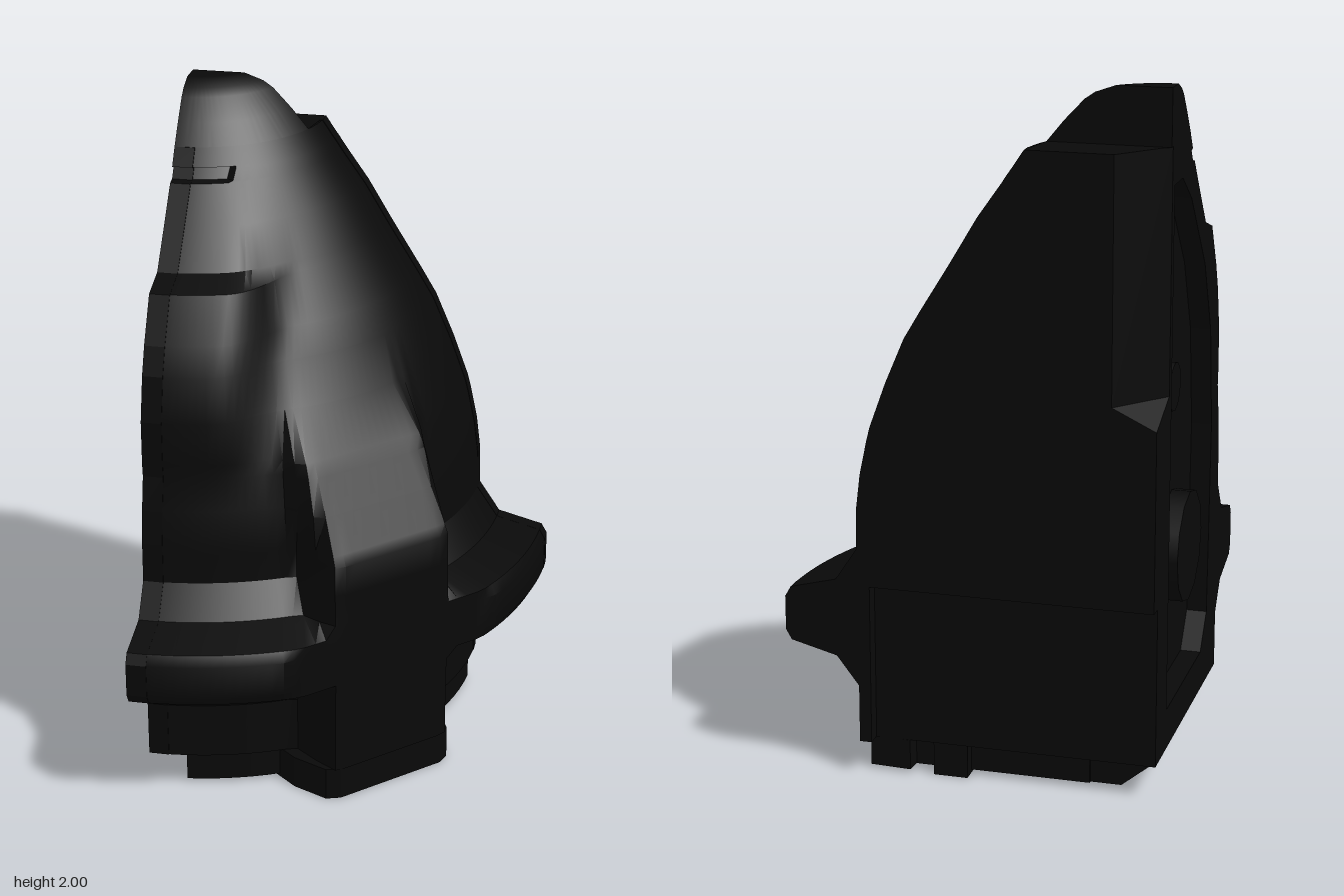
import * as THREE from 'three';
import { toCreasedNormals } from 'three/addons/utils/BufferGeometryUtils.js';

// Local frame: the quarter's corner axis is at x = z = 0
const H = 0.535;

// Outer profile, [y, radius]
const PROFILE = [
  [0.1, 0.855], [0.27, 0.855], [0.355, 0.92], [0.39, 1.055], [0.42, 1.072], [0.52, 1.072], [0.55, 1.055],
  [0.585, 0.92], [0.68, 0.857], [0.77, 0.855], [0.8, 0.855], [0.9, 0.843], [1.0, 0.822], [1.04, 0.812], [1.17, 0.765],
  [1.3, 0.71], [1.38, 0.663], [1.51, 0.583], [1.54, 0.565], [1.65, 0.5], [1.75, 0.43], [1.755, 0.427],
  [1.785, 0.407], [1.79, 0.403], [1.84, 0.37],
];
// Top of the dome above the notch
const TIP = [[1.84, 0.37], [1.9, 0.325], [1.96, 0.275], [1.98, 0.25], [2.0, 0.205], [2.0, 0.136]];
// Raised brow near the front edge, [y, extra radius]
const BROW = [[1.0, 0], [1.17, 0.06], [1.38, 0.1], [1.51, 0.11], [1.54, 0.035], [1.65, 0.01], [1.75, 0]];
// Flat-faced buttress on the diagonal, [y, distance from the axis]
const BUTTRESS = [[0, 1.005], [0.77, 1.005], [0.9, 0.93], [1.04, 0.85], [1.17, 0.77]];

function sample(table, y) {
  if (y < table[0][0] || y >= table[table.length - 1][0]) return 0;
  const i = table.findIndex((p) => p[0] > y);
  const [a, b] = [table[i - 1], table[i]];
  return a[1] + (b[1] - a[1]) * (y - a[0]) / (b[0] - a[0]);
}

function radiusAt(y, r, t) {
  const smooth = THREE.MathUtils.smoothstep;
  const off = r * Math.cos(t);
  const slot = y > 1.752 && y < 1.788 && off < 0.17 ? 0.02 : 0;
  const dome = r + sample(BROW, y) * (1 - smooth(off, 0.18, 0.38)) - slot;
  // Flatten the flange and raise the buttress across the diagonal
  const phi = t - Math.PI / 4;
  const base = Math.min(dome, 1.005 / Math.cos(phi));
  const face = sample(BUTTRESS, y) / Math.cos(phi);
  const lift = 1 - smooth(Math.abs(face * Math.sin(phi)), 0.19, 0.28);
  return base + Math.max(0, face - base) * lift;
}

// Quarter-turn surface; minZ cuts it off towards the back
function quarterSurface(profile, minZ = 0, cols = 48) {
  const pos = [], idx = [], n = cols + 1;
  profile.forEach(([y, r], i) => {
    const start = Math.asin(minZ / r);
    for (let j = 0; j <= cols; j++) {
      const t = start + j / cols * (Math.PI / 2 - start), q = radiusAt(y, r, t);
      pos.push(q * Math.cos(t), y, q * Math.sin(t));
      if (i && j) {
        const a = (i - 1) * n + j - 1, c = i * n + j - 1;
        idx.push(a, c, a + 1, a + 1, c, c + 1);
      }
    }
  });
  const g = new THREE.BufferGeometry();
  g.setAttribute('position', new THREE.Float32BufferAttribute(pos, 3));
  g.setIndex(idx);
  return toCreasedNormals(g, 0.55);
}

const shapeOf = (pts) => new THREE.Shape(pts.map((p) => new THREE.Vector2(...p)));
const extrude = (shape, depth) => new THREE.ExtrudeGeometry(shape, { depth, bevelEnabled: false });

export function createModel() {
  const model = new THREE.Group();
  const black = new THREE.MeshStandardMaterial({ color: 0x090909, side: THREE.DoubleSide });
  black.name = 'black';
  const parts = new THREE.Group();
  parts.name = 'quarterShell';
  parts.position.set(-H, 0, -H);
  model.add(parts);
  const add = (name, geometry, x = 0, y = 0, z = 0) => {
    const m = new THREE.Mesh(geometry, black);
    m.name = name;
    m.position.set(x, y, z);
    parts.add(m);
    return m;
  };
  const box = (name, x0, x1, y0, y1, z0, z1) => add(name,
    new THREE.BoxGeometry(x1 - x0, y1 - y0, z1 - z0), (x0 + x1) / 2, (y0 + y1) / 2, (z0 + z1) / 2);

  // Dome with its flange and buttress, and the notched tip
  const notch = 0.135, cutX = 0.125, cutZ = 0.15, cutY = 1.15, ledge = 0.57, step = 0.045;
  add('dome', quarterSurface(PROFILE));
  add('tip', quarterSurface(TIP, notch));
  const tipRows = TIP.slice(0, 5);
  add('tipSide', new THREE.ShapeGeometry(shapeOf([[notch, 1.84], ...tipRows.map(([y, r]) => [r, y]), [notch, 2]]))
    .rotateY(-Math.PI / 2));
  add('tipBack', new THREE.ShapeGeometry(shapeOf([[0, 1.84],
    ...tipRows.map(([y, r]) => [Math.sqrt(r * r - notch * notch), y]), [0, 2]])), 0, 0, notch);
  add('tipTop', new THREE.ShapeGeometry(shapeOf([[0, -notch], [0.154, -notch], [0.08, -0.19], [0, -0.205]]))
    .rotateX(-Math.PI / 2), 0, 2);
  add('notchFloor', new THREE.ShapeGeometry(shapeOf([[cutX, 0], [0.37, 0], [0.345, -notch], [0, -notch], [0, -cutZ]]))
    .rotateX(-Math.PI / 2), 0, 1.84);

  // Flat mating face at the back, stepped in below a ledge
  add('backFace', extrude(shapeOf([...PROFILE.map(([y, r]) => [r, y]),
    [cutX, 1.84], [cutX, cutY], [0, cutY - 0.06], [0, ledge], [0.82, ledge], [0.82, 0.1]]), step));
  add('lowerBackFace', new THREE.ShapeGeometry(shapeOf([[0, 0.1], [0, ledge], [0.82, ledge], [0.82, 0.1]])), 0, 0, step);

  // Side mating face: a rim around a recessed panel
  const frontEdge = PROFILE.map(([y, r]) => [radiusAt(y, r, Math.PI / 2), y]);
  const recess = [[0.18, 0.22], [0.64, 0.22], [0.72, 0.32], [0.74, 0.9], [0.7, 1.2], [0.6, 1.42], [0.4, 1.65], [0.28, 1.73], [0.18, 1.73]];
  const rim = shapeOf([...frontEdge, [cutZ, 1.84], [cutZ, cutY], [0, cutY - 0.06], [0, ledge], [step, ledge], [step, 0.1]]);
  rim.holes.push(new THREE.Path(recess.map((p) => new THREE.Vector2(...p))));
  add('sideRim', extrude(rim, 0.06).rotateY(-Math.PI / 2), 0.06);
  add('sidePanel', new THREE.ShapeGeometry(shapeOf(recess)).rotateY(-Math.PI / 2), 0.06);
  const boss = (name, r, h, y, z) => add(name,
    new THREE.CylinderGeometry(r, r, h, 12).rotateZ(Math.PI / 2), 0.06 - h / 2 + 0.005, y, z);
  boss('largeBoss', 0.165, 0.06, 0.61, 0.48);
  boss('smallBoss', 0.07, 0.06, 1.15, 0.25);

  // Bevel of the corner post
  const bevel = new THREE.BufferGeometry();
  bevel.setAttribute('position', new THREE.Float32BufferAttribute([
    cutX, cutY, 0, 0, cutY, cutZ, 0, 1.84, cutZ,
    cutX, cutY, 0, 0, 1.84, cutZ, cutX, 1.84, 0,
    0, cutY - 0.06, 0, 0, cutY, cutZ, cutX, cutY, 0], 3));
  bevel.computeVertexNormals();
  add('cornerBevel', bevel);

  // Foot below the buttress
  const section = [[0.72, -0.27], [0.87, -0.26], [0.98, -0.22], [1.0, -0.18], [1.0, 0.18], [0.98, 0.22], [0.87, 0.26], [0.72, 0.27]];
  add('foot', extrude(shapeOf(section), 0.1).rotateX(Math.PI / 2), 0, 0.1).rotation.y = -Math.PI / 4;

  // Underside: floor, base ring and bars
  const floor = new THREE.Shape();
  floor.moveTo(0, step).lineTo(0.85, step).absarc(0, 0, 0.855, 0.05, Math.PI / 2, false);
  add('floor', new THREE.ShapeGeometry(floor, 16).rotateX(Math.PI / 2), 0, 0.1);
  const ring = new THREE.Shape();
  ring.absarc(0, 0, 0.84, 0.06, 1.44, false);
  ring.absarc(0, 0, 0.72, 1.44, 0.06, true);
  add('baseRing', extrude(ring, 0.09).rotateX(Math.PI / 2), 0, 0.1);
  add('sideBar', extrude(shapeOf([[0, 0.1], [0.11, 0.01], [0.22, 0.01], [0.22, 0.1]]), 0.56), 0, 0, 0.1);
  box('backBar', 0.2, 0.74, 0.01, 0.1, 0.09, 0.19);
  box('peg', 0.55, 0.65, 0, 0.12, 0.05, 0.12);
  return model;
}
